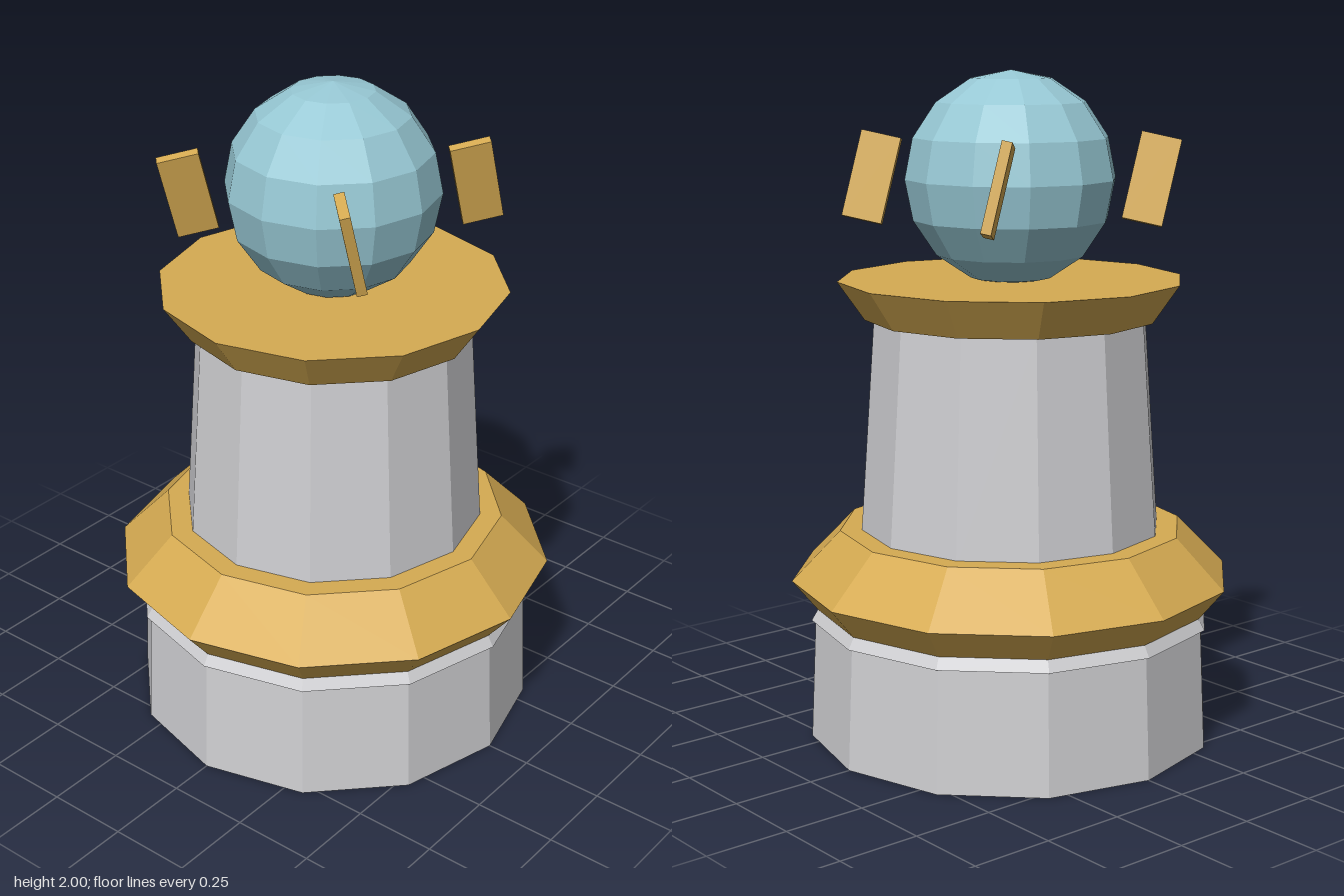
import * as THREE from 'three';

export function createModel() {
  const model = new THREE.Group();
  model.name = 'orbPedestal';

  const flat = (name, color) => {
    const m = new THREE.MeshStandardMaterial({ color, flatShading: true });
    m.name = name;
    return m;
  };
  const stone = flat('grey stone', 0xcfcfd2);
  const gold = flat('gold', 0xd6ab52);
  const glass = flat('pale blue glass', 0x97c8d4);

  const add = (name, geometry, material) => {
    const mesh = new THREE.Mesh(geometry, material);
    mesh.name = name;
    model.add(mesh);
    return mesh;
  };

  // Twelve-sided tapered drum between two heights
  const SIDES = 12;
  const drum = (name, y0, r0, y1, r1, material) => {
    const mesh = add(name, new THREE.CylinderGeometry(r1, r0, y1 - y0, SIDES), material);
    mesh.position.y = (y0 + y1) / 2;
  };

  // Stone base with a bevelled lip, and the column above
  drum('base', 0, 0.615, 0.365, 0.598, stone);
  drum('baseLip', 0.365, 0.61, 0.4, 0.59, stone);
  drum('column', 0.62, 0.456, 1.28, 0.41, stone);

  // Gold collar, widest below its middle
  const collar = [[0, 0.4], [0.593, 0.4], [0.667, 0.49], [0.52, 0.64], [0, 0.64]];
  add('collar', new THREE.LatheGeometry(collar.map(([r, y]) => new THREE.Vector2(r, y)), SIDES), gold);

  // Flared gold capital
  drum('capital', 1.275, 0.437, 1.39, 0.517, gold);

  // Faceted orb
  add('orb', new THREE.SphereGeometry(0.315, SIDES, 8), glass).position.y = 1.685;

  // Four fins on the diagonals, turned outward, all leaning the same way
  const finShape = new THREE.BoxGeometry(0.12, 0.26, 0.03);
  for (let i = 0; i < 4; i++) {
    const a = Math.PI / 4 + (i * Math.PI) / 2;
    const fin = add('fin' + (i + 1), finShape, gold);
    fin.position.set(Math.cos(a) * 0.413, 1.685, Math.sin(a) * 0.413);
    fin.rotation.set(0, -a, 0.3, 'ZYX');
  }

  return model;
}
